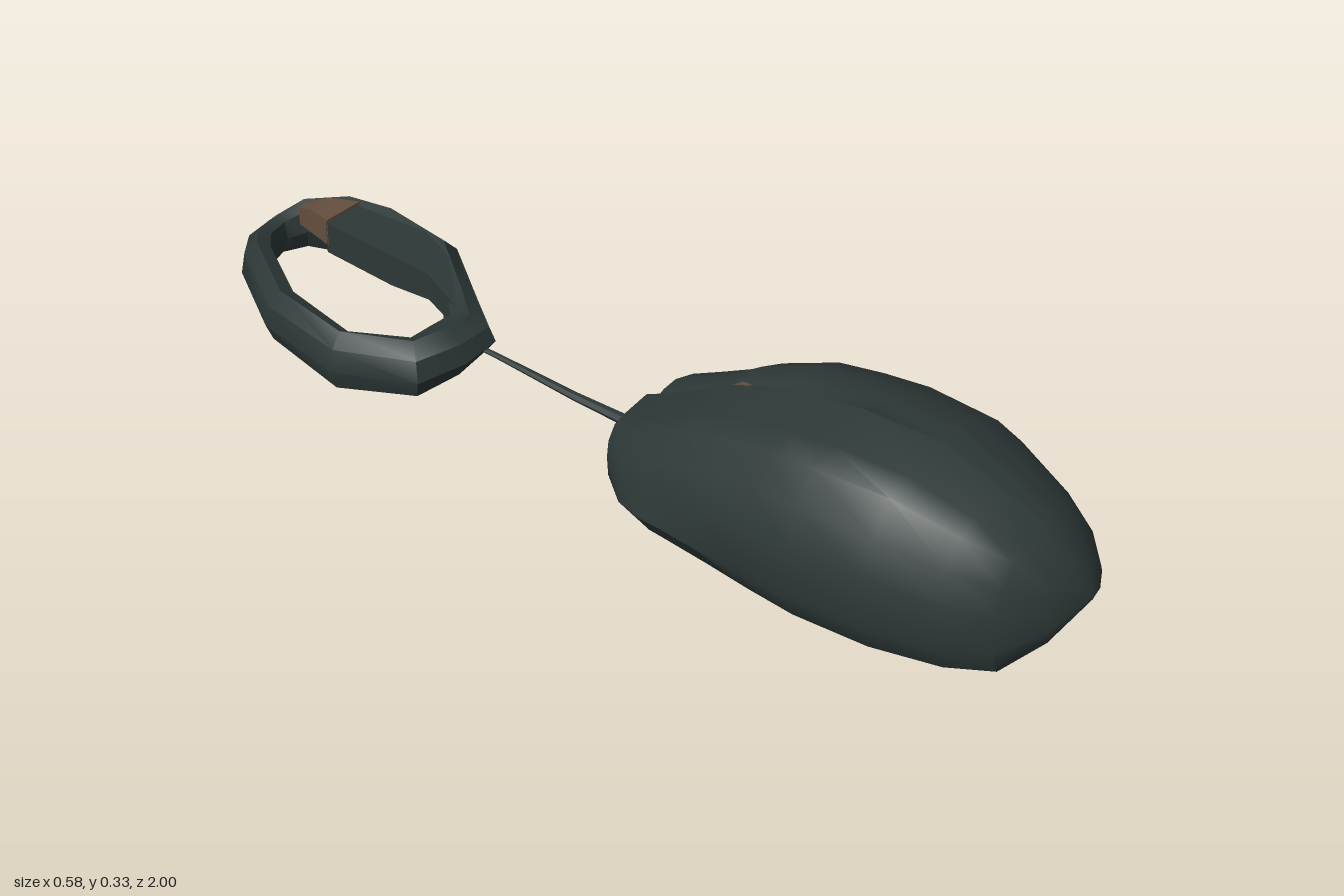
import * as THREE from 'three';
import { toCreasedNormals } from 'three/addons/utils/BufferGeometryUtils.js';

// Skin a list of equal-length rings of [x, y, z] points
function loft(rings, closed, crease) {
  const n = rings[0].length, m = rings.length, index = [];
  for (let i = 0; i < (closed ? m : m - 1); i++) {
    for (let j = 0; j < n; j++) {
      const k = (j + 1) % n, i2 = (i + 1) % m;
      const a = i * n + j, b = i * n + k, c = i2 * n + j, d = i2 * n + k;
      index.push(a, c, b, c, d, b);
    }
  }
  const g = new THREE.BufferGeometry();
  g.setAttribute('position', new THREE.Float32BufferAttribute(rings.flat(2), 3));
  g.setIndex(index);
  return toCreasedNormals(g, crease);
}

const point = (n, p) => Array.from({ length: n }, () => p);

export function createModel() {
  const model = new THREE.Group();
  const dark = new THREE.MeshStandardMaterial({ color: 0x2d3837 });
  dark.name = 'dark plastic';
  const brown = new THREE.MeshStandardMaterial({ color: 0x66503f });
  brown.name = 'brown accent';
  const add = (name, geometry, material) => {
    const mesh = new THREE.Mesh(geometry, material);
    mesh.name = name;
    model.add(mesh);
    return mesh;
  };

  // Body: leaning cross-section, [across -1..1, height 0..1, share of groove depth]
  const section = [
    [-0.86, 0.02, 0], [-1, 0.22, 0], [-0.95, 0.5, 0], [-0.87, 0.72, 0], [-0.72, 0.9, 0],
    [-0.53, 0.95, 0], [-0.17, 1, 0], [-0.13, 1, 1], [0.03, 0.985, 1], [0.11, 0.97, 0.6],
    [0.3, 0.91, 0], [0.57, 0.8, 0], [0.93, 0.5, 0], [0.99, 0.38, 0], [1, 0.08, 0], [0.75, 0, 0],
  ];
  // Stations: z, x min, x max, y min, y max, groove depth
  const stations = [
    [0.075, -0.2, 0.16, 0.055, 0.165, 0.02],
    [0.13, -0.24, 0.19, 0.03, 0.195, 0.03],
    [0.21, -0.25, 0.215, 0.01, 0.235, 0.035],
    [0.25, -0.255, 0.24, 0.008, 0.258, 0.04],
    [0.35, -0.27, 0.29, 0.006, 0.288, 0.045],
    [0.45, -0.283, 0.288, 0.004, 0.313, 0.035],
    [0.55, -0.292, 0.282, 0.002, 0.332, 0.01],
    [0.7, -0.28, 0.26, 0, 0.332, 0],
    [0.83, -0.24, 0.2, 0, 0.288, 0],
    [0.91, -0.19, 0.145, 0.004, 0.25, 0],
    [0.965, -0.115, 0.075, 0.055, 0.18, 0],
  ];
  const body = stations.map(([z, x0, x1, y0, y1, groove], i) =>
    section.map(([u, h, d]) => [
      (x0 + x1) / 2 + u * (x1 - x0) / 2,
      y0 + h * (y1 - y0) - d * groove,
      z + (i < 2 ? (1 - h) * 0.035 : 0),
    ]));
  body.unshift(point(section.length, [-0.02, 0.11, 0.09]));
  body.push(point(section.length, [-0.02, 0.12, 1]));
  add('mouseBody', loft(body, false, 0.75), dark);

  // Scroll wheel sunk in the groove
  const wheel = add('scrollWheel', new THREE.CylinderGeometry(0.045, 0.045, 0.04, 10), brown);
  wheel.rotation.z = Math.PI / 2;
  wheel.position.set(-0.02, 0.198, 0.27);

  // Straight cable, thick at the strain relief and thinning towards the coil
  const cable = [
    [-0.025, 0.084, -0.38, 0.005], [-0.025, 0.08, -0.3, 0.006], [-0.02, 0.062, -0.12, 0.009],
    [-0.014, 0.052, 0.03, 0.012], [-0.01, 0.055, 0.14, 0.022],
  ].map(([x, y, z, r]) => Array.from({ length: 6 }, (_, j) => {
    const a = -j * Math.PI / 3;
    return [x + r * Math.cos(a), y + r * Math.sin(a), z];
  }));
  add('cable', loft(cable, false, 0.9), dark);

  // Coiled cable bundle: outer x, z, inner x, z, y min, y max
  const coil = [
    [0, -0.335, -0.03, -0.44, 0.06, 0.14], [-0.1, -0.325, -0.09, -0.43, 0.055, 0.155],
    [-0.2, -0.36, -0.14, -0.43, 0.04, 0.155], [-0.26, -0.53, -0.19, -0.54, 0.025, 0.15],
    [-0.215, -0.75, -0.14, -0.73, 0.03, 0.14], [-0.1, -0.93, -0.05, -0.88, 0.025, 0.145],
    [-0.03, -0.985, 0, -0.93, 0.035, 0.13], [0.05, -1, 0.05, -0.945, 0.04, 0.125],
    [0.14, -0.985, 0.09, -0.925, 0.035, 0.14], [0.2, -0.88, 0.125, -0.86, 0.025, 0.155],
    [0.2, -0.75, 0.12, -0.75, 0.03, 0.17], [0.17, -0.57, 0.09, -0.59, 0.025, 0.17],
    [0.06, -0.42, 0.01, -0.48, 0.045, 0.15],
  ];
  const bundle = [
    [0, 0.45], [0.12, 0.88], [0.5, 1], [0.88, 0.78], [1, 0.4], [0.8, 0.06], [0.3, 0],
  ];
  add('cableCoil', loft(coil.map(([ox, oz, ix, iz, y0, y1]) =>
    bundle.map(([s, t]) => [ix + s * (ox - ix), y0 + t * (y1 - y0), iz + s * (oz - iz)])),
  true, 0.6), dark);

  // Plug lying inside the coil: rectangular rings of x, y, z, half width, half height
  const box = ([x, y, z, w, h]) =>
    [[x - w, y - h, z], [x - w, y + h, z], [x + w, y + h, z], [x + w, y - h, z]];
  const plug = [
    [0.075, 0.14, -0.81, 0.045, 0.035], [0.07, 0.14, -0.62, 0.055, 0.036],
    [0.06, 0.13, -0.53, 0.035, 0.03], [0.01, 0.11, -0.42, 0.02, 0.025],
  ].map(box);
  plug.unshift(point(4, [0.075, 0.14, -0.81]));
  plug.push(point(4, [0.01, 0.11, -0.42]));
  add('plugHandle', loft(plug, false, 0.5), dark);

  const tip = [
    [0.08, 0.135, -0.92, 0.016, 0.02], [0.078, 0.148, -0.87, 0.03, 0.028],
    [0.077, 0.152, -0.805, 0.048, 0.03],
  ].map(box);
  tip.unshift(point(4, [0.08, 0.135, -0.92]));
  tip.push(point(4, [0.077, 0.152, -0.805]));
  add('plugTip', loft(tip, false, 0.5), brown);

  return model;
}
